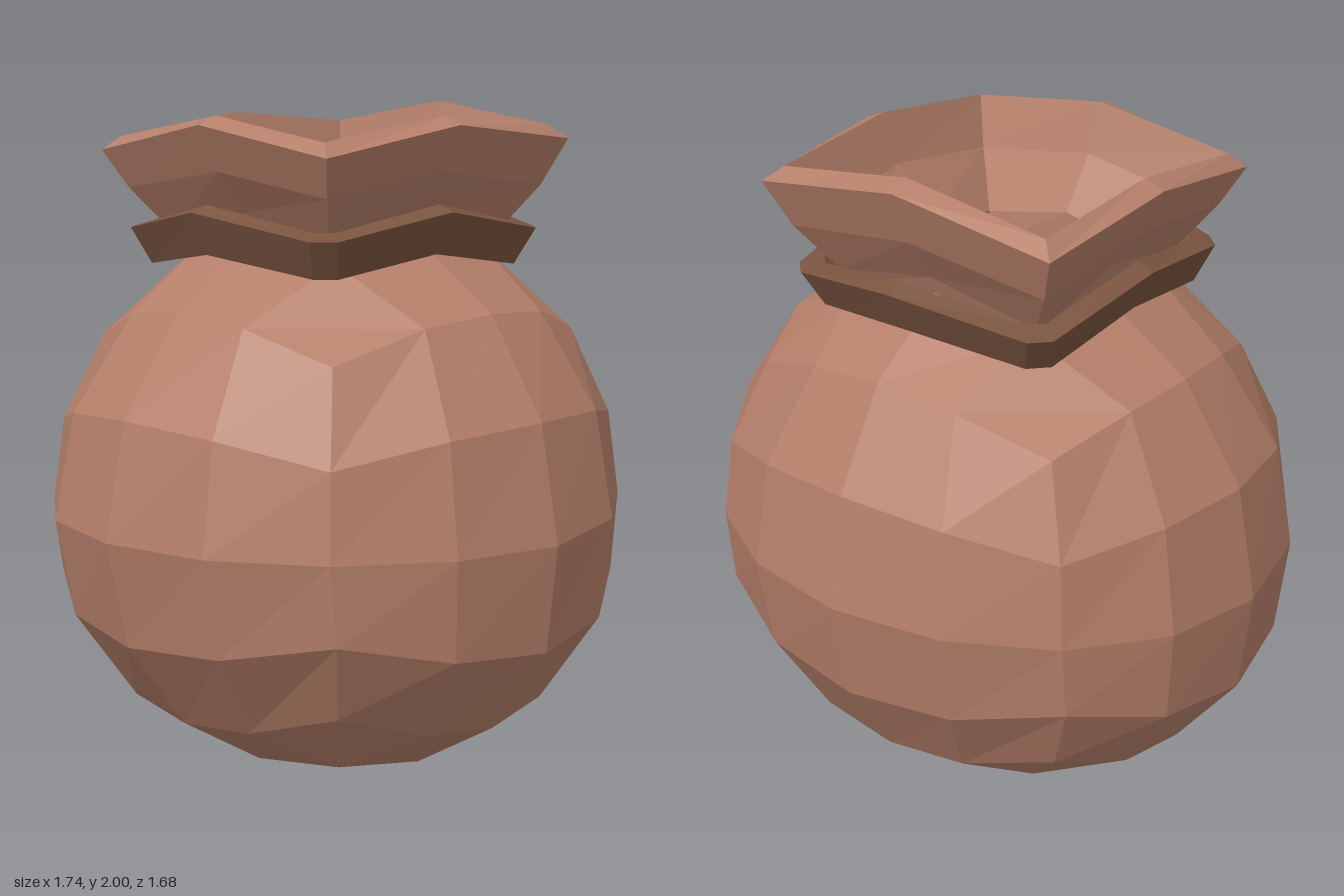
import * as THREE from 'three';

// Faceted pouch point from a point on a cube of half-size 1, evened out by angle
function bodyPoint(x, y, z, scale) {
  const even = (v) => Math.tan((v * Math.PI) / 4);
  const p = new THREE.Vector3(even(x), even(y), even(z)).normalize();
  const wide = p.y < -0.01 && p.y > -0.99 ? 1.04 : 1;
  const px = p.x * 0.87 * wide;
  // the middle leans slightly to the back, and the back sits slightly higher
  const pz = p.z * 0.84 - 0.04 * (1 - p.z * p.z);
  const py = p.y * (p.y < 0 ? 0.81 : 0.87) + (p.z < -0.01 ? -p.z * 0.05 : 0);
  return new THREE.Vector3(px * scale, 0.81 + py * scale, pz * scale);
}

function flatMesh(name, points, color) {
  const geometry = new THREE.BufferGeometry().setFromPoints(points);
  geometry.computeVertexNormals();
  const material = new THREE.MeshStandardMaterial({ color, flatShading: true });
  const mesh = new THREE.Mesh(geometry, material);
  mesh.name = name;
  return mesh;
}

// Cube sphere with the middle of its top left open; inside turns the faces inwards
function shell(scale, inside) {
  const pos = new THREE.BoxGeometry(2, 2, 2, 4, 4, 4).toNonIndexed().attributes.position;
  const points = [];
  for (let i = 0; i < pos.count; i += 3) {
    const tri = [0, 1, 2].map((k) => new THREE.Vector3().fromBufferAttribute(pos, i + k));
    if (tri.every((v) => v.y > 0.99 && Math.abs(v.x) < 0.51 && Math.abs(v.z) < 0.51)) continue;
    if (inside) tri.reverse();
    points.push(...tri.map((v) => bodyPoint(v.x, v.y, v.z, scale)));
  }
  return points;
}

// Edge loop of the open top, in the same order as squareLoop
function openingLoop(scale) {
  return [[0, 1], [1, 1], [1, 0], [1, -1], [0, -1], [-1, -1], [-1, 0], [-1, 1]]
    .map(([x, z]) => bodyPoint(x * 0.5, 1, z * 0.5, scale));
}

// Square loop, mid = [x, front z, back z, y] and corner likewise;
// chamfer cuts the corners and backRise lifts the back side
function squareLoop(mid, corner, chamfer = 0, backRise = 0) {
  const [mx, mf, mb, my] = mid;
  const [cx, cf, cb, cy] = corner;
  const v = (x, y, z) => new THREE.Vector3(x, y, z);
  const cut = (x, y, z, firstAlongX) => {
    if (!chamfer) return [v(x, y, z)];
    const a = v(x - Math.sign(x) * chamfer, y, z);
    const b = v(x, y, z - Math.sign(z) * chamfer);
    return firstAlongX ? [a, b] : [b, a];
  };
  return [
    v(0, my, mf), ...cut(cx, cy, cf, true),
    v(mx, my, (mf + mb) / 2), ...cut(cx, cy + backRise, cb, false),
    v(0, my + backRise, mb), ...cut(-cx, cy + backRise, cb, true),
    v(-mx, my, (mf + mb) / 2), ...cut(-cx, cy, cf, false),
  ];
}

// Quads between successive loops
function loft(loops) {
  const points = [];
  for (let k = 0; k + 1 < loops.length; k++) {
    const a = loops[k], b = loops[k + 1];
    for (let i = 0; i < a.length; i++) {
      const j = (i + 1) % a.length;
      points.push(a[i], a[j], b[j], a[i], b[j], b[i]);
    }
  }
  return points;
}

export function createModel() {
  const group = new THREE.Group();
  group.name = 'pouch';
  const leather = 0xb57f69;
  const inner = 0.92;

  // Round body and its lining
  group.add(flatMesh('body', shell(1, false), leather));
  group.add(flatMesh('lining', shell(inner, true), leather));

  // Flared neck: up the outside, over the rim and down the inside
  group.add(flatMesh('neck', loft([
    openingLoop(1),
    squareLoop([0.35, 0.34, -0.38, 1.69], [0.34, 0.32, -0.36, 1.62]),
    squareLoop([0.45, 0.43, -0.47, 1.81], [0.43, 0.41, -0.45, 1.75], 0, 0.01),
    squareLoop([0.51, 0.495, -0.53, 1.94], [0.485, 0.465, -0.505, 1.86], 0, 0.035),
    squareLoop([0.45, 0.43, -0.465, 1.965], [0.44, 0.43, -0.46, 1.9], 0, 0.035),
    squareLoop([0.4, 0.375, -0.415, 1.82], [0.385, 0.37, -0.41, 1.76], 0, 0.01),
    squareLoop([0.285, 0.265, -0.3, 1.67], [0.28, 0.26, -0.3, 1.61]),
    openingLoop(inner),
  ]), leather));

  // Tie band around the neck
  const bottomOuter = squareLoop([0.425, 0.47, -0.5, 1.58], [0.4, 0.39, -0.42, 1.53], 0.05);
  group.add(flatMesh('tieBand', loft([
    bottomOuter,
    squareLoop([0.485, 0.525, -0.56, 1.7], [0.44, 0.435, -0.47, 1.635], 0.05),
    squareLoop([0.43, 0.47, -0.505, 1.72], [0.385, 0.38, -0.415, 1.655], 0.04),
    squareLoop([0.33, 0.33, -0.37, 1.61], [0.3, 0.3, -0.34, 1.55], 0.03),
    bottomOuter,
  ]), 0x7a5540));

  return group;
}
